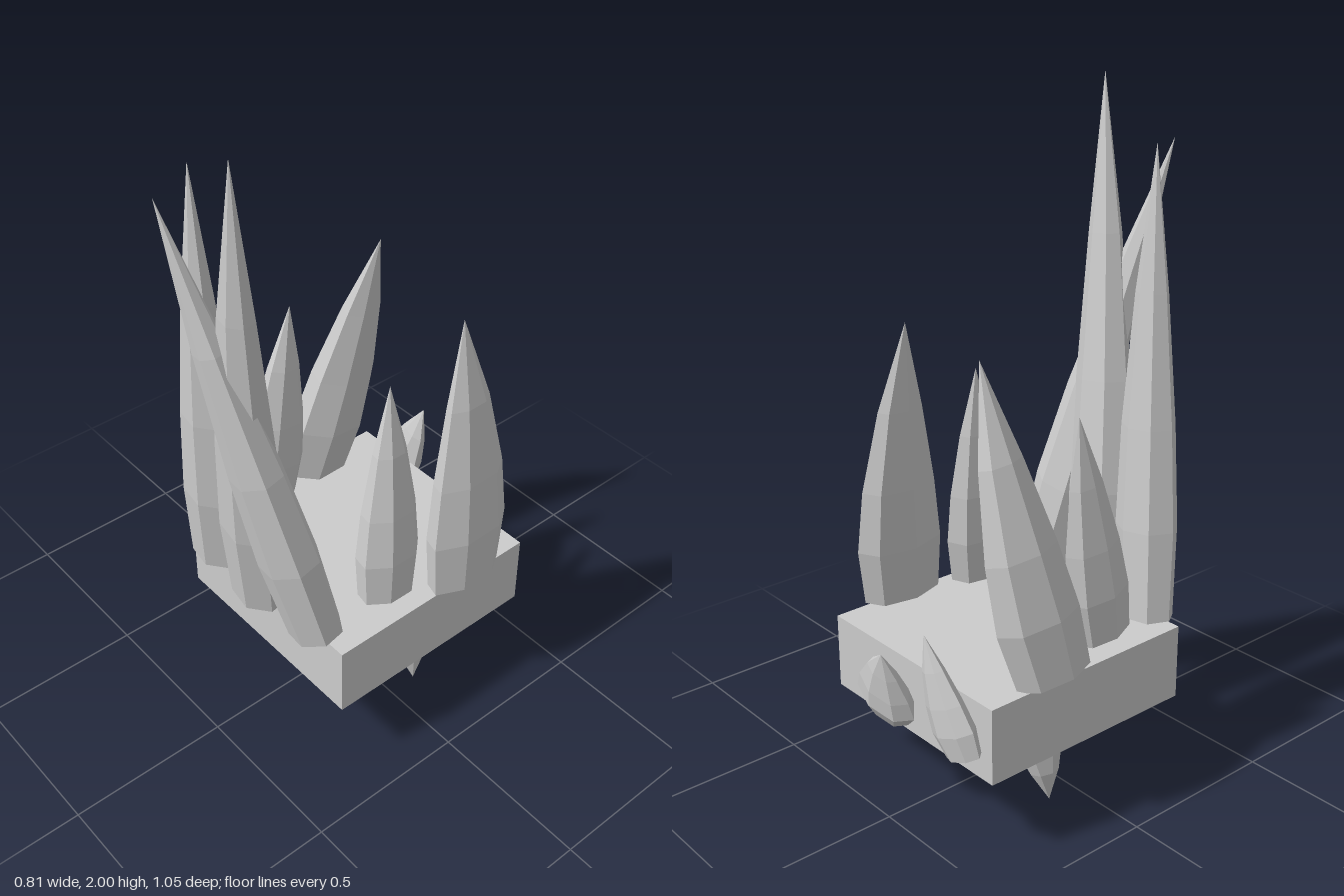
import * as THREE from 'three';

const stone = new THREE.MeshStandardMaterial({ color: 0xcccccc });
stone.name = 'paleGrey';
stone.flatShading = true;

// Seven-sided horn from base to tip: oval section, slight bow, closed base
function horn(name, base, tip, rx, rz, bow = [0, 0], foot = 0.9, phase = 0) {
  const profile = [[0, 0], [foot, 0], [1, 0.2], [0.86, 0.42], [0.52, 0.7], [0, 1]]
    .map(([r, t]) => new THREE.Vector2(r, t));
  const geo = new THREE.LatheGeometry(profile, 7, phase);
  const a = new THREE.Vector3(...base);
  const axis = new THREE.Vector3(...tip).sub(a);
  const dir = axis.clone().normalize();
  const ex = new THREE.Vector3(1, 0, 0).addScaledVector(dir, -dir.x).normalize();
  const ez = new THREE.Vector3().crossVectors(ex, dir);
  const pos = geo.attributes.position;
  for (let i = 0; i < pos.count; i++) {
    const x = pos.getX(i), t = pos.getY(i), z = pos.getZ(i);
    const k = 4 * t * (1 - t);
    const p = a.clone().addScaledVector(axis, t)
      .addScaledVector(ex, x * rx).addScaledVector(ez, z * rz);
    pos.setXYZ(i, p.x + bow[0] * k, p.y, p.z + bow[1] * k);
  }
  geo.computeVertexNormals();
  const mesh = new THREE.Mesh(geo, stone);
  mesh.name = name;
  return mesh;
}

export function createModel() {
  const model = new THREE.Group();
  model.name = 'spikedBlock';

  // Flat block
  const block = new THREE.Mesh(new THREE.BoxGeometry(0.71, 0.23, 0.71), stone);
  block.name = 'block';
  block.position.set(0, 0.36, -0.055);
  model.add(block);

  // Name, base centre, tip, half widths, bow, base width, turn
  const horns = [
    // Tall row along the front edge
    ['frontRightHorn', [-0.225, 0.465, 0.295], [-0.14, 1.84, 0.37], 0.1, 0.085, [0.015, 0.01]],
    ['frontMiddleHorn', [0, 0.475, 0.31], [0.16, 2, 0.46], 0.105, 0.09, [-0.005, 0.01]],
    ['frontLeftHorn', [0.235, 0.485, 0.295], [-0.06, 1.83, 0.525], 0.1, 0.085, [0.02, 0.01]],
    // Side horns
    ['leftFrontHorn', [0.265, 0.51, 0.055], [0.21, 1.19, 0.01], 0.07, 0.108, [0.005, 0]],
    ['rightFrontHorn', [-0.278, 0.51, 0.06], [-0.275, 1.18, -0.035], 0.066, 0.108, [0.002, 0]],
    ['leftBackHorn', [0.345, 0.485, -0.177], [0.275, 1.35, -0.19], 0.068, 0.148, [0.01, -0.01]],
    ['rightBackHorn', [-0.335, 0.485, -0.175], [-0.16, 1.36, -0.28], 0.085, 0.135, [-0.018, -0.025]],
    // Stubby horns on the back face
    ['backRightHorn', [-0.28, 0.315, -0.445], [-0.16, 0.645, -0.48], 0.085, 0.048, [0.012, 0], 0.8],
    ['backMiddleHorn', [0.045, 0.315, -0.455], [-0.025, 0.545, -0.525], 0.112, 0.055, [0.01, 0.005], 0.7],
    // Horns pointing down
    ['lowerRightHorn', [-0.15, 0.31, -0.115], [-0.235, 0, -0.095], 0.085, 0.082, [-0.012, 0]],
    ['lowerLeftHorn', [0.14, 0.31, -0.115], [0.237, 0, -0.095], 0.088, 0.082, [0.01, 0]],
  ];
  horns.forEach((h) => model.add(horn(h[0], h[1], h[2], h[3], h[4], h[5], h[6], 0.3)));

  return model;
}
